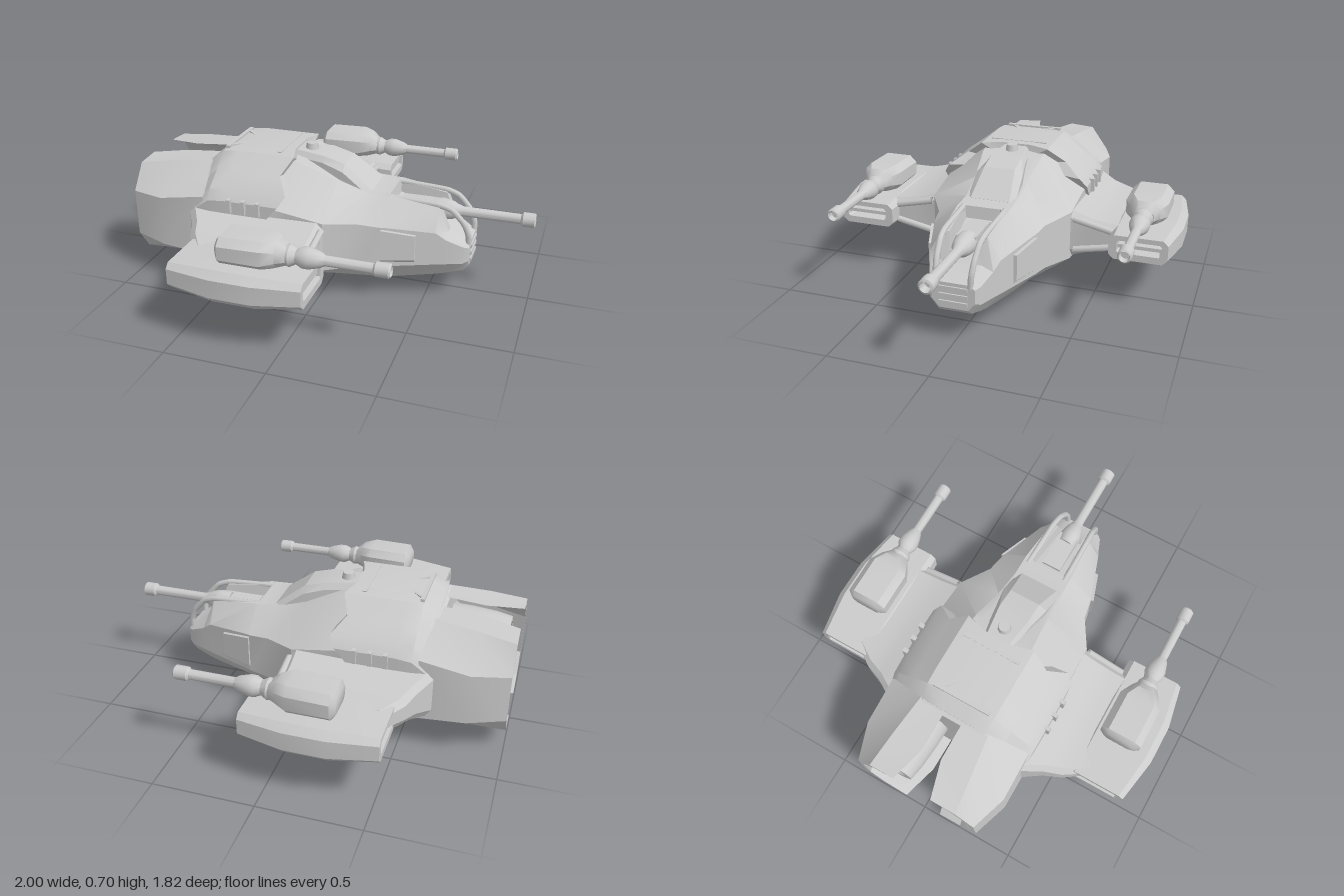
import * as THREE from 'three';
import { toCreasedNormals } from 'three/addons/utils/BufferGeometryUtils.js';

const grey = new THREE.MeshStandardMaterial({ color: 0xcccccc });
const greyThin = new THREE.MeshStandardMaterial({ color: 0xcccccc, side: THREE.DoubleSide });

// Skin a list of rings (arrays of [x, y, z]); solids get end caps and outward faces
function loft(rings, solid = true, crease = 0.5) {
  const pos = [], n = rings[0].length;
  for (let r = 0; r < rings.length - 1; r++) {
    for (let i = 0; i < (solid ? n : n - 1); i++) {
      const j = (i + 1) % n, a = rings[r], b = rings[r + 1];
      pos.push(...a[i], ...b[i], ...b[j], ...a[i], ...b[j], ...a[j]);
    }
  }
  if (solid) {
    for (const [ring, front] of [[rings[0], false], [rings[rings.length - 1], true]]) {
      const c = [0, 1, 2].map(k => ring.reduce((s, p) => s + p[k], 0) / n);
      ring.forEach((p, i) => {
        const q = ring[(i + 1) % n];
        pos.push(...c, ...(front ? q : p), ...(front ? p : q));
      });
    }
    let volume = 0;
    const a = new THREE.Vector3(), b = new THREE.Vector3(), c = new THREE.Vector3();
    for (let i = 0; i < pos.length; i += 9) {
      volume += a.fromArray(pos, i).dot(b.fromArray(pos, i + 3).cross(c.fromArray(pos, i + 6)));
    }
    if (volume < 0) {
      for (let i = 0; i < pos.length; i += 9) {
        for (let k = 0; k < 3; k++) [pos[i + 3 + k], pos[i + 6 + k]] = [pos[i + 6 + k], pos[i + 3 + k]];
      }
    }
  }
  const g = new THREE.BufferGeometry();
  g.setAttribute('position', new THREE.Float32BufferAttribute(pos, 3));
  return toCreasedNormals(g, crease);
}

// Chamfered rectangle across the x axis
function chamferRing(x, y0, y1, z0, z1, c) {
  return [[y0, z0 + c], [y0, z1 - c], [y0 + c, z1], [y1 - c, z1], [y1, z1 - c], [y1, z0 + c], [y1 - c, z0], [y0 + c, z0]]
    .map(([y, z]) => [x, y, z]);
}

// Half section [z, y] mirrored into a full ring at x
const mirrorRing = (x, half) => [
  ...half.map(([z, y]) => [x, y, z]),
  ...half.slice().reverse().map(([z, y]) => [x, y, -z]),
];

export function createModel() {
  const model = new THREE.Group();
  const add = (name, geometry, x = 0, y = 0, z = 0, material = grey) => {
    const mesh = new THREE.Mesh(geometry, material);
    mesh.name = name;
    mesh.position.set(x, y, z);
    model.add(mesh);
    return mesh;
  };
  const box = (name, w, h, d, x, y, z) => add(name, new THREE.BoxGeometry(w, h, d), x, y, z);
  // Lathe along +x from [radius, x] points
  const latheX = (name, pts, y, z, material) => {
    const g = new THREE.LatheGeometry(pts.map(p => new THREE.Vector2(...p)), 20).rotateZ(-Math.PI / 2);
    return add(name, toCreasedNormals(g, 0.6), 0, y, z, material);
  };
  const tube = (name, pts, r) => add(name, new THREE.TubeGeometry(
    new THREE.CatmullRomCurve3(pts.map(p => new THREE.Vector3(...p)), false, 'catmullrom', 0.2), 20, r, 8));

  // Hull: x, bottom y, bottom width, low y, width, high y, top width, top y, floor of the gun slot
  const hull = [
    [-0.64, 0.08, 0.15, 0.2, 0.37, 0.47, 0.17, 0.61, 0.61],
    [-0.55, 0.02, 0.17, 0.18, 0.38, 0.49, 0.17, 0.66, 0.66],
    [-0.47, 0.005, 0.17, 0.17, 0.385, 0.5, 0.17, 0.675, 0.675],
    [-0.27, 0.01, 0.17, 0.17, 0.385, 0.5, 0.17, 0.67, 0.67],
    [-0.26, 0.03, 0.17, 0.18, 0.38, 0.49, 0.17, 0.67, 0.67],
    [-0.14, 0.045, 0.16, 0.18, 0.375, 0.47, 0.16, 0.65, 0.65],
    [0.04, 0.06, 0.15, 0.19, 0.37, 0.44, 0.14, 0.57, 0.57],
    [0.19, 0.07, 0.14, 0.19, 0.28, 0.42, 0.13, 0.525, 0.525],
    [0.3, 0.08, 0.14, 0.2, 0.26, 0.41, 0.13, 0.52, 0.52],
    [0.31, 0.083, 0.14, 0.2, 0.255, 0.41, 0.13, 0.52, 0.46],
    [0.55, 0.125, 0.11, 0.21, 0.175, 0.38, 0.11, 0.49, 0.41],
    [0.6, 0.135, 0.1, 0.21, 0.155, 0.34, 0.1, 0.365, 0.365],
    [0.68, 0.155, 0.08, 0.21, 0.125, 0.3, 0.09, 0.32, 0.32],
    [0.705, 0.18, 0.07, 0.22, 0.105, 0.29, 0.08, 0.31, 0.31],
  ];
  add('hull', loft(hull.map(([x, yb, wb, yl, w, yh, wt, yt, f]) =>
    mirrorRing(x, [[wb, yb], [w, yl], [w, yh], [wt, yt], [wt - 0.035, yt], [wt - 0.045, f]]))));

  // Armour over the shoulders with a jagged front edge
  const armour = [[0.395, 0.42], [0.395, 0.5], [0.36, 0.55], [0.27, 0.615], [0.18, 0.685], [0.08, 0.69]];
  const jag = [-0.25, -0.18, -0.15, -0.21, -0.17, -0.2];
  const armourRing = (x, drop, front) => mirrorRing(x, armour.map(([z, y]) => [z - drop * 0.15, y - drop]))
    .map((p, i) => front ? [jag[i < 6 ? i : 11 - i], p[1], p[2]] : p);
  add('shoulderArmour', loft([armourRing(-0.62, 0.065), armourRing(-0.55, 0.01), armourRing(-0.47, 0), armourRing(0, 0, true)]));

  // Crossed ribs on the roof panel
  for (const s of [-1, 1]) {
    const rib = box('roofRib', 0.36, 0.014, 0.02, -0.4, 0.682, 0);
    rib.rotation.y = s * 0.7;
    box('roofEdge', 0.02, 0.02, 0.3, -0.4 + s * 0.14, 0.682, 0);
  }
  const knob = new THREE.CylinderGeometry(0.028, 0.036, 0.04, 10);
  add('roofKnob', knob, -0.14, 0.685, 0);

  // Cockpit canopy
  add('canopy', loft([[-0.2, 0.68, 0.06, 0.08], [-0.05, 0.67, 0.08, 0.1], [0.06, 0.64, 0.08, 0.12], [0.21, 0.525, 0.1, 0.125]]
    .map(([x, y, wt, wb]) => mirrorRing(x, [[wb, 0.48], [wb, y - 0.03], [wt, y]])), true, 0.35));

  // Nose grille
  for (let i = 0; i < 3; i++) box('grilleBar', 0.02, 0.018, 0.14, 0.703, 0.21 + i * 0.037, 0);

  // Nose cannon
  box('cannonMount', 0.2, 0.07, 0.1, 0.44, 0.435, 0);
  latheX('noseCannon', [[0, 0.5], [0.05, 0.5], [0.055, 0.55], [0.045, 0.6], [0.034, 0.62], [0.025, 0.65],
    [0.025, 0.93], [0.036, 0.94], [0.036, 0.995], [0.026, 1], [0.02, 0.96], [0, 0.96]], 0.435, 0);

  // Parts on both sides
  for (const s of [-1, 1]) {
    const mirrorZ = rings => rings.map(r => r.map(([x, y, z]) => [x, y, z * s]));

    // Guard rail around the nose cannon
    tube('noseRail', [[0.28, 0.51, 0.105 * s], [0.54, 0.497, 0.1 * s], [0.61, 0.475, 0.095 * s],
      [0.67, 0.41, 0.09 * s], [0.695, 0.35, 0.085 * s], [0.695, 0.29, 0.08 * s]], 0.015);
    // Cheek plate
    add('cheekPlate', loft(mirrorZ([
      [[0.3, 0.22, 0.25], [0.3, 0.4, 0.25], [0.3, 0.4, 0.275], [0.3, 0.24, 0.275]],
      [[0.46, 0.22, 0.2], [0.46, 0.37, 0.2], [0.46, 0.37, 0.222], [0.46, 0.24, 0.222]],
    ])));

    // Wing root, thinning toward the pod
    add('wing', loft([[0.28, -0.7, 0.06, 0.18, 0.46], [0.38, -0.655, 0.04, 0.2, 0.44], [0.47, -0.6, 0.04, 0.23, 0.41],
      [0.56, -0.565, 0.04, 0.25, 0.395], [0.66, -0.5, 0.04, 0.26, 0.39]].map(([z, xr, xf, y0, y1]) =>
      [[xr + 0.03, y0], [xf - 0.03, y0], [xf, y0 + 0.04], [xf, y1 - 0.03], [xf - 0.03, y1], [xr + 0.03, y1], [xr, y1 - 0.03], [xr, y0 + 0.04]]
        .map(([x, y]) => [x, y, z * s]))));
    tube('wingStrut', [[0.04, 0.41, 0.38 * s], [0.04, 0.365, 0.58 * s]], 0.018);
    tube('wingStrut', [[0.04, 0.24, 0.38 * s], [0.04, 0.28, 0.58 * s]], 0.018);

    // Wing tip pod with a recessed slot at each end
    add('wingPod', loft(mirrorZ([
      chamferRing(-0.46, 0.3, 0.355, 0.63, 0.83, 0.01),
      chamferRing(-0.525, 0.295, 0.36, 0.62, 0.84, 0.01),
      chamferRing(-0.525, 0.26, 0.385, 0.58, 0.87, 0.025),
      chamferRing(-0.3, 0.24, 0.4, 0.57, 0.91, 0.035),
      chamferRing(-0.1, 0.24, 0.4, 0.57, 0.91, 0.035),
      chamferRing(0.12, 0.26, 0.385, 0.58, 0.87, 0.025),
      chamferRing(0.12, 0.295, 0.36, 0.62, 0.84, 0.01),
      chamferRing(0.05, 0.3, 0.355, 0.63, 0.83, 0.01),
    ])));
    for (const x of [-0.49, 0.085]) box('slotBar', 0.04, 0.018, 0.22, x, 0.327, 0.73 * s);

    // Wing gun: housing and barrel
    add('gunHousing', loft(mirrorZ([
      chamferRing(-0.31, 0.42, 0.5, 0.645, 0.805, 0.025),
      chamferRing(-0.29, 0.39, 0.525, 0.62, 0.83, 0.035),
      chamferRing(-0.09, 0.39, 0.53, 0.62, 0.83, 0.035),
      chamferRing(-0.03, 0.4, 0.52, 0.65, 0.8, 0.035),
      chamferRing(0.01, 0.41, 0.49, 0.675, 0.775, 0.025),
    ]), true, 0.7));
    latheX('gunBarrel', [[0, -0.02], [0.045, -0.02], [0.052, 0.02], [0.036, 0.05], [0.05, 0.08], [0.05, 0.11], [0.036, 0.16],
      [0.024, 0.18], [0.024, 0.4], [0.034, 0.41], [0.034, 0.47], [0.026, 0.478], [0.02, 0.45], [0, 0.45]], 0.448, 0.722 * s);

    // Engine cowling, open on the inner side; the lips close the skin
    const cowl = [
      [-0.58, [0.05, 0.62], [0.18, 0.62], [0.38, 0.5], [0.38, 0.18], [0.17, 0.07], [0.05, 0.07]],
      [-0.82, [0.05, 0.6], [0.21, 0.6], [0.38, 0.46], [0.38, 0.2], [0.2, 0.085], [0.05, 0.085]],
      [-1, [0.1, 0.585], [0.23, 0.575], [0.32, 0.45], [0.32, 0.21], [0.24, 0.1], [0.1, 0.09]],
    ];
    const skin = (k) => cowl.map(([x, ...pts]) => pts.map(([z, y], i) =>
      i === 0 || i === 5 ? [x, y, z * s] : [x, 0.34 + (y - 0.34) * k, (0.1 + (z - 0.1) * k) * s]));
    add('engineCowling', loft([...skin(1), ...skin(0.88).reverse()], false), 0, 0, 0, greyThin);

    // Engine nozzle
    latheX('engineNozzle', [[0, -0.78], [0.09, -0.8], [0.1, -0.94], [0.125, -0.94], [0.14, -0.86], [0.15, -0.74], [0.155, -0.58]],
      0.34, 0.2 * s, greyThin);

    // Small fins on the flank and belly skid
    for (let i = 0; i < 3; i++) {
      box('flankFin', 0.022, 0.07, 0.05, -0.43 + i * 0.075, 0.48, 0.388 * s);
    }
    const skid = box('bellyBlock', 0.13, 0.12, 0.05, -0.335, 0.09, 0.27 * s);
    skid.rotation.x = s * 0.9;
  }
  return model;
}
